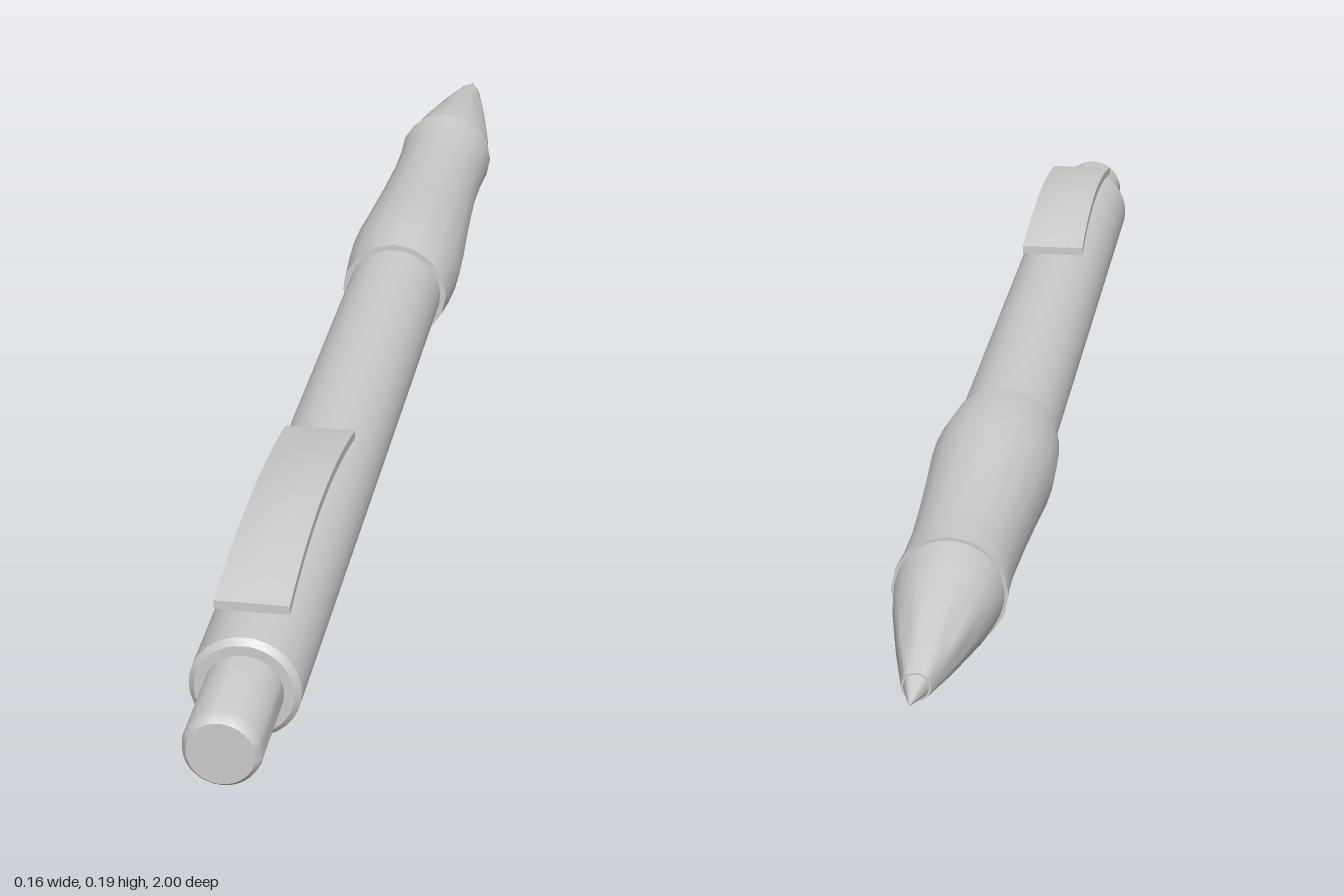
import * as THREE from 'three';
import { toCreasedNormals } from 'three/addons/utils/BufferGeometryUtils.js';

const AXIS_Y = 0.079;
const material = new THREE.MeshStandardMaterial({ color: 0xcccccc });

// Turned part along z: profile is [radius, z] with z increasing
function turned(name, profile, sides) {
  const points = profile.map(([r, z]) => new THREE.Vector2(r, z));
  const geometry = new THREE.LatheGeometry(points, sides);
  geometry.rotateX(Math.PI / 2);
  const mesh = new THREE.Mesh(toCreasedNormals(geometry, 0.6), material);
  mesh.name = name;
  mesh.position.y = AXIS_Y;
  return mesh;
}

// Bowed strip with a slight crown across its width, flat at both ends
function createClip() {
  const length = 0.43;
  const geometry = new THREE.BoxGeometry(0.086, 0.011, length, 6, 1, 16);
  const p = geometry.attributes.position;
  for (let i = 0; i < p.count; i++) {
    const x = p.getX(i);
    const t = p.getZ(i) / (length / 2);
    const bow = 1 - t * t;
    const crown = 1 - (x / 0.043) ** 2;
    p.setY(i, p.getY(i) + bow * (0.023 + 0.006 * crown));
    p.setX(i, x * (1 - 0.04 * bow));
  }
  geometry.computeVertexNormals();
  const mesh = new THREE.Mesh(geometry, material);
  mesh.name = 'pocketClip';
  mesh.position.set(0, 0.156, 0.605);
  return mesh;
}

export function createModel() {
  const group = new THREE.Group();
  group.name = 'mechanicalPencil';

  group.add(
    // Push button with a rounded rim
    turned('pushButton', [
      [0.045, 0.86], [0.045, 0.985], [0.043, 0.994], [0.038, 1], [0, 1],
    ], 32),
    // Straight barrel
    turned('barrel', [
      [0, -0.2], [0.064, -0.2], [0.064, 0.863], [0.057, 0.87], [0, 0.87],
    ], 32),
    // Contoured grip, waisted toward the tip
    turned('grip', [
      [0, -0.69], [0.068, -0.69], [0.065, -0.64], [0.0645, -0.58], [0.068, -0.49],
      [0.073, -0.4], [0.0775, -0.33], [0.0785, -0.28], [0.076, -0.23], [0.072, -0.19], [0, -0.19],
    ], 16),
    // Slightly bulged nose cone
    turned('noseCone', [
      [0, -0.95], [0.0165, -0.95], [0.036, -0.86], [0.056, -0.755], [0.062, -0.71], [0.064, -0.68],
    ], 32),
    // Pointed tip
    turned('leadTip', [[0, -1], [0.0155, -0.945]], 24),
    createClip(),
  );
  return group;
}
